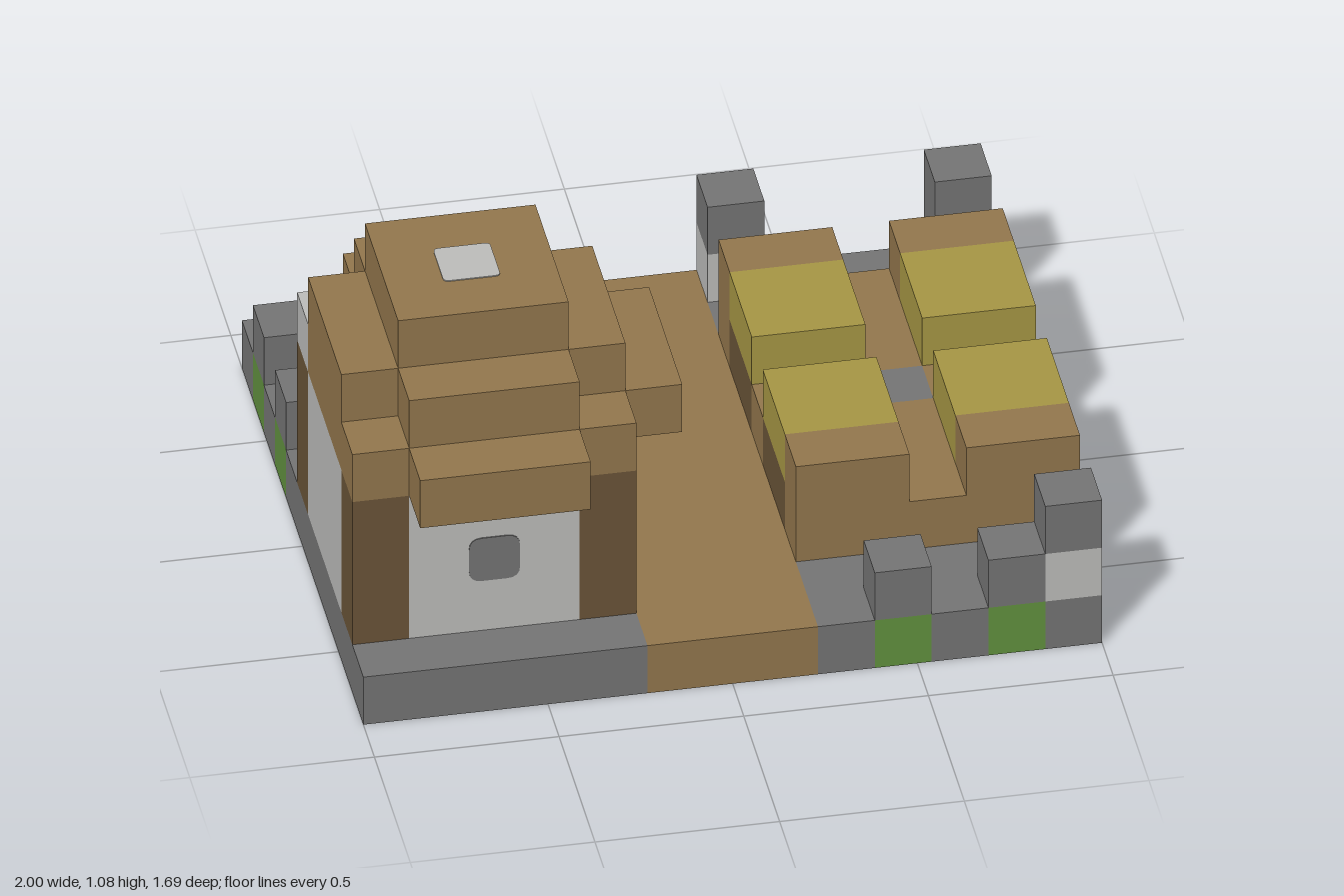
import * as THREE from 'three';

const U = 2 / 13; // one block; the plot is 13 x 11 blocks

function material(name, color) {
  const m = new THREE.MeshStandardMaterial({ color });
  m.name = name;
  return m;
}

export function createModel() {
  const model = new THREE.Group();
  model.name = 'farmPlot';
  const stone = material('stone grey', 0x757575);
  const pale = material('pale grey', 0xbdbdbb);
  const brown = material('earth brown', 0x93774d);
  const dark = material('dark wood', 0x6a5438);
  const yellow = material('crop yellow', 0xa79745);
  const green = material('moss green', 0x62913f);

  // Box between block coordinates: x and z count from the back right corner
  function box(parent, name, mat, x0, x1, y0, y1, z0, z1) {
    const g = new THREE.BoxGeometry((x1 - x0) * U, (y1 - y0) * U, (z1 - z0) * U);
    const mesh = new THREE.Mesh(g, mat);
    mesh.position.set(((x0 + x1) / 2 - 6.5) * U, ((y0 + y1) / 2) * U, ((z0 + z1) / 2 - 5.5) * U);
    mesh.name = name;
    parent.add(mesh);
    return mesh;
  }
  function group(name) {
    const g = new THREE.Group();
    g.name = name;
    model.add(g);
    return g;
  }

  // Ground slab, split by colour
  const ground = group('ground');
  box(ground, 'path', brown, 5, 8, 0, 1, 0, 11);
  box(ground, 'yard', pale, 1, 5, 0, 1, 0, 8);
  box(ground, 'houseGround', stone, 0, 5, 0, 1, 8, 11);
  box(ground, 'fieldGround', stone, 8, 13, 0, 1, 1, 10);
  box(ground, 'fieldBackEdge', stone, 8, 12, 0, 1, 0, 1);
  box(ground, 'backCornerMoss', green, 12, 13, 0, 1, 0, 1);
  for (const x of [8, 9, 10, 11, 12]) {
    box(ground, 'fieldFrontEdge', x === 9 || x === 11 ? green : stone, x, x + 1, 0, 1, 10, 11);
  }
  for (const z of [0, 1, 2, 3]) {
    box(ground, 'yardEdge', z % 2 ? green : stone, 0, 1, 0, 1, z, z + 1);
  }
  box(ground, 'yardEdge', stone, 0, 1, 0, 1, 4, 8);

  // Boundary stones and posts
  const border = group('border');
  for (const [x, z] of [[0, 1], [0, 3], [9, 10], [11, 10]]) {
    box(border, 'borderStone', stone, x, x + 1, 1, 2, z, z + 1);
  }
  for (const [x, z, mat] of [[8, 0, pale], [12, 10, pale], [12, 0, stone]]) {
    box(border, 'postBase', mat, x, x + 1, 1, 2, z, z + 1);
    box(border, 'postTop', stone, x, x + 1, 2, 3, z, z + 1);
  }

  // Field with four crop beds around a small basin
  const field = group('field');
  for (const x of [8, 11]) {
    box(field, 'backBank', brown, x, x + 2, 1, 3, 2, 3);
    box(field, 'frontBank', brown, x, x + 2, 1, 3, 8, 9);
    box(field, 'crossFurrow', brown, x, x + 2, 1, 2, 5, 6);
    for (const z of [3, 6]) {
      box(field, 'soil', dark, x, x + 2, 1, 2, z, z + 2);
      box(field, 'crop', yellow, x, x + 2, 2, 3, z, z + 2);
    }
  }
  box(field, 'furrow', brown, 10, 11, 1, 2, 2, 5);
  box(field, 'furrow', brown, 10, 11, 1, 2, 6, 9);
  box(field, 'basin', stone, 10, 11, 1, 2, 5, 6);

  // House: corner pillars, three walls, open at the back
  const house = group('house');
  for (const x of [0, 4]) {
    for (const z of [5, 9]) {
      box(house, 'pillar', dark, x, x + 1, 1, 4, z, z + 1);
      box(house, 'pillarCap', x === 0 && z === 5 ? pale : brown, x, x + 1, 4, 5, z, z + 1);
    }
    box(house, 'sideWall', pale, x, x + 1, 1, 4, 6, 9);
  }
  box(house, 'frontWall', pale, 1, 4, 1, 4, 9, 10);

  // Stepped roof of crossing slabs
  const roof = group('roof');
  box(roof, 'lowerRoofLong', brown, 1, 4, 4, 5, 4, 11);
  box(roof, 'lowerRoofWide', brown, 0, 6, 4, 5, 6, 9);
  box(roof, 'middleRoofLong', brown, 1, 4, 5, 6, 5, 10);
  box(roof, 'middleRoofWide', brown, 0, 5, 5, 6, 6, 9);
  box(roof, 'upperRoof', brown, 1, 4, 6, 7, 6, 9);

  // Thin rounded plate facing +z
  function plate(parent, name, mat, size, r) {
    const h = size / 2;
    const s = new THREE.Shape();
    s.moveTo(-h + r, -h);
    s.lineTo(h - r, -h).quadraticCurveTo(h, -h, h, -h + r);
    s.lineTo(h, h - r).quadraticCurveTo(h, h, h - r, h);
    s.lineTo(-h + r, h).quadraticCurveTo(-h, h, -h, h - r);
    s.lineTo(-h, -h + r).quadraticCurveTo(-h, -h, -h + r, -h);
    const g = new THREE.ExtrudeGeometry(s, { depth: 0.003, bevelEnabled: false, curveSegments: 4 });
    const mesh = new THREE.Mesh(g, mat);
    mesh.name = name;
    parent.add(mesh);
    return mesh;
  }
  plate(house, 'window', stone, 0.138, 0.035).position.set(-4 * U, 2.5 * U, 4.5 * U);
  const vent = plate(roof, 'roofVent', pale, 0.154, 0.015);
  vent.rotation.x = -Math.PI / 2;
  vent.position.set(-4 * U, 7 * U, 2 * U);

  return model;
}
